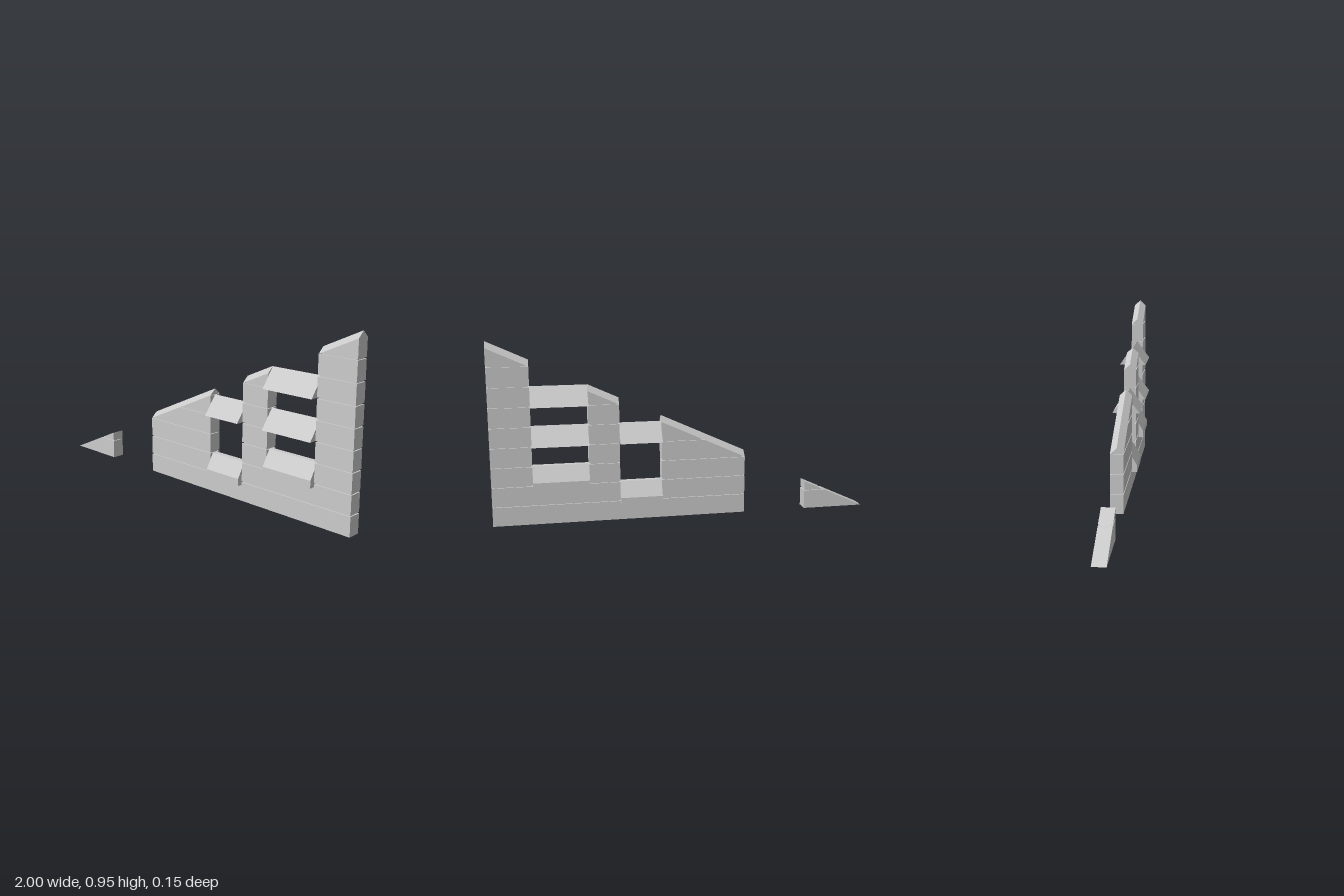
import * as THREE from 'three';

const material = new THREE.MeshStandardMaterial({ color: 0xcccccc, flatShading: true });
const PITCH = 0.1035;      // height of one plank course
const GAP = 0.0035;        // half the height of a groove
const DEPTH = 0.034;       // half the wall thickness
const INSET = 0.007;       // groove depth
const SLOPE = 0.461;
const eave = (x) => SLOPE * (x + 1);

function addMesh(parent, name, geometry) {
  const mesh = new THREE.Mesh(geometry, material);
  mesh.name = name;
  parent.add(mesh);
}

// Horizontal board from x0 to x1, cut off along the sloping eave line
function boardGeometry(x0, x1, y0, y1, half, drop = 0) {
  const top = (x) => eave(x) - drop;
  const atY = (y) => (y + drop) / SLOPE - 1;
  if (top(x1) <= y0 + 0.001) return null;
  const pts = [[Math.max(x0, atY(y0)), y0], [x1, y0], [x1, Math.min(y1, top(x1))]];
  if (top(x1) > y1) pts.push([Math.max(x0, atY(y1)), y1]);
  if (top(x0) > y0 && top(x0) < y1) pts.push([x0, top(x0)]);
  const shape = new THREE.Shape(pts.map(([x, y]) => new THREE.Vector2(x, y)));
  const g = new THREE.ExtrudeGeometry(shape, { depth: 2 * half, bevelEnabled: false });
  return g.translate(0, 0, -half);
}

// Prism along x with a mirrored (z, y) profile, optionally sheared up a slope
function prismGeometry(x0, x1, halfProfile, slope = 0) {
  const right = halfProfile.map(([z, y]) => new THREE.Vector2(z, y));
  const left = halfProfile.filter(([z]) => z > 0).reverse().map(([z, y]) => new THREE.Vector2(-z, y));
  const g = new THREE.ExtrudeGeometry(new THREE.Shape([...right, ...left]), { depth: x1 - x0, bevelEnabled: false });
  g.rotateY(Math.PI / 2).translate(x0, 0, 0);
  const p = g.attributes.position;
  for (let i = 0; i < p.count; i++) p.setY(i, p.getY(i) + slope * (p.getX(i) - x0));
  g.computeVertexNormals();
  return g;
}

// Stacked planks with recessed joints between them
function addCourses(parent, count, segmentsFor) {
  for (let k = 0; k < count; k++) {
    for (const [x0, x1] of segmentsFor(k)) {
      const y0 = k ? k * PITCH + GAP : 0;
      const plank = boardGeometry(x0, x1, y0, (k + 1) * PITCH - GAP, DEPTH);
      if (plank) addMesh(parent, 'plank', plank);
      if (!k) continue;
      const joint = boardGeometry(x0 + INSET, x1 - INSET, k * PITCH - GAP - 0.001,
        k * PITCH + GAP + 0.001, DEPTH - INSET, 0.003);
      if (joint) addMesh(parent, 'plankJoint', joint);
    }
  }
}

export function createModel() {
  const model = new THREE.Group();
  model.name = 'plankWall';

  // Main wall, split into three pillars above the window sills
  const wall = new THREE.Group();
  wall.name = 'wall';
  const pillars = [[-0.33, 0.12], [0.34, 0.5], [0.79, 1]];
  addCourses(wall, 9, (k) => {
    if (k === 0) return [[-0.33, 1]];
    if (k === 1) return [[-0.33, 0.12], [0.34, 1]];
    return pillars;
  });

  // Sloping ridge on each pillar
  for (const [x0, x1] of pillars) {
    const y = eave(x0);
    addMesh(wall, 'ridgeCap', prismGeometry(x0, x1, [[DEPTH, y], [0, y + 0.031]], SLOPE));
  }
  model.add(wall);

  // Small separate wedge at the low end
  const wedge = new THREE.Group();
  wedge.name = 'endWedge';
  addCourses(wedge, 2, () => [[-1, -0.67]]);
  model.add(wedge);

  // Sills with upright edges and bevelled tops
  for (const [x0, x1, y] of [[0.12, 0.34, 0.086], [0.5, 0.79, 0.19]]) {
    addMesh(model, 'windowSill', prismGeometry(x0, x1,
      [[0.062, y], [0.062, y + 0.038], [0.015, y + 0.117]]));
  }

  // Triangular bars across the windows
  for (const [x0, x1, y] of [[0.12, 0.34, 0.416], [0.5, 0.79, 0.416], [0.5, 0.79, 0.621]]) {
    addMesh(model, 'windowBar', prismGeometry(x0, x1, [[0.075, y], [0, y + 0.1]]));
  }
  return model;
}
